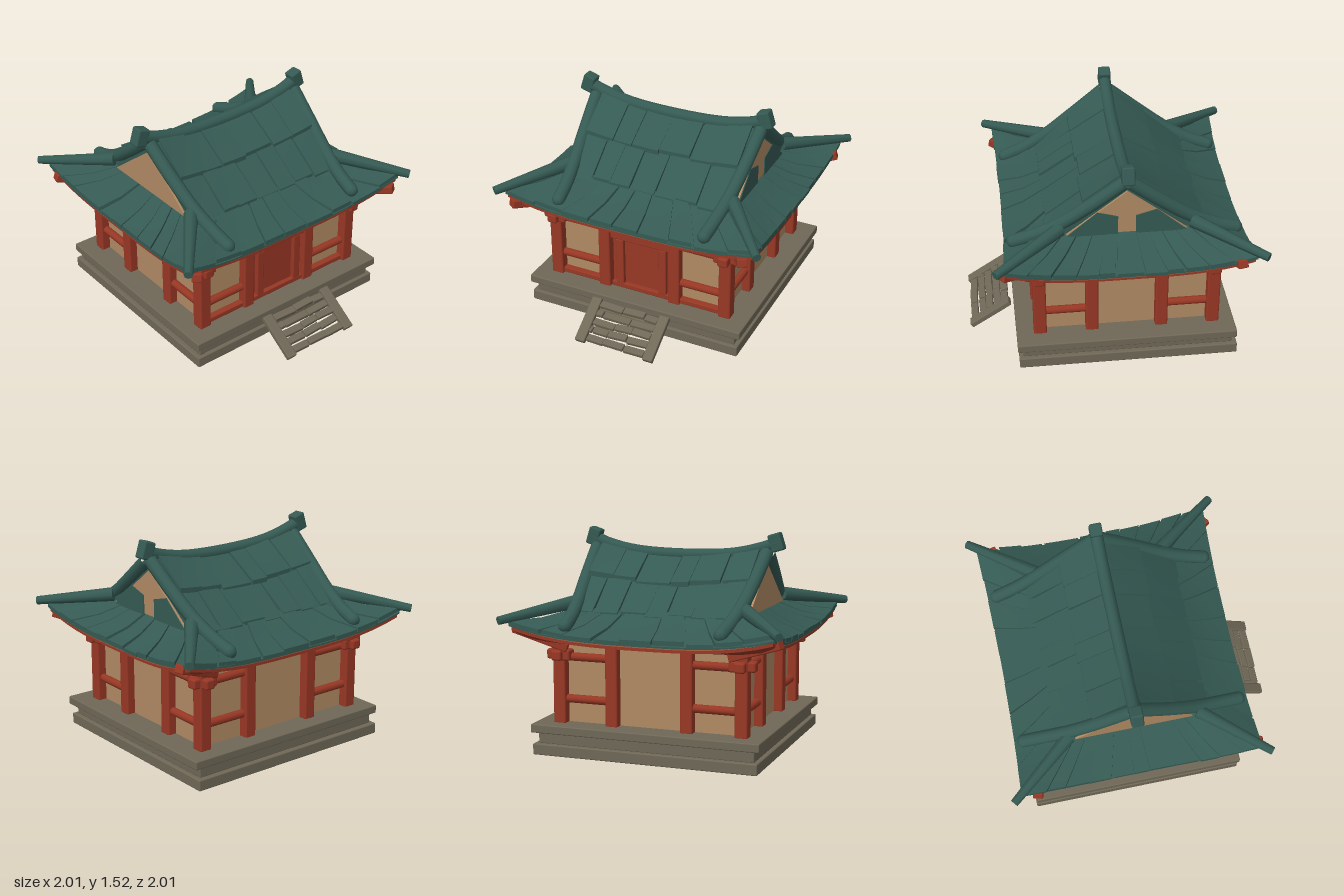
import * as THREE from 'three';
import { RoundedBoxGeometry } from 'three/addons/geometries/RoundedBoxGeometry.js';

const material = (name, color) => Object.assign(new THREE.MeshStandardMaterial({ color }), { name });
const V = (x, y, z) => new THREE.Vector3(x, y, z);
const lerp = THREE.MathUtils.lerp;

export function createModel() {
  const teal = material('teal roof tile', 0x355a53);
  const tan = material('tan plaster', 0xb08a63);
  const red = material('red timber', 0x983724);
  const stone = material('grey stone', 0x6f6857);
  const trim = material('orange eave trim', 0xa9603f);

  const root = new THREE.Group();
  root.name = 'pavilion';
  const hall = new THREE.Group();
  hall.name = 'hall';
  hall.position.set(-0.09, 0, -0.01);
  root.add(hall);

  let seed = 7;
  const rand = () => (seed = (seed * 16807) % 2147483647) / 2147483647;
  const jit = (a) => (rand() - 0.5) * 2 * a;

  const add = (parent, name, geo, mat, x = 0, y = 0, z = 0) => {
    const m = new THREE.Mesh(geo, mat);
    m.name = name;
    m.position.set(x, y, z);
    parent.add(m);
    return m;
  };
  const block = (parent, name, mat, w, h, d, x, y, z, r = 0.008) =>
    add(parent, name, new RoundedBoxGeometry(w, h, d, 2, r), mat, x, y, z);
  // round log between two points, tapering from r0 to r1
  const log = (parent, name, mat, a, b, r0, r1, sides = 10) => {
    const m = add(parent, name, new THREE.CylinderGeometry(r1, r0, a.distanceTo(b), sides), mat);
    m.position.copy(a).lerp(b, 0.5);
    m.quaternion.setFromUnitVectors(V(0, 1, 0), b.clone().sub(a).normalize());
    return m;
  };
  // slab bent over a surface(u, v): v runs outwards, lip thickens the outer edge
  const slab = (parent, name, mat, surface, [u0, u1, v0, v1], h0, thick, lip = 0, su = 2, sv = 2) => {
    const geo = new THREE.BoxGeometry(1, 1, 1, su, 1, sv);
    const p = geo.attributes.position;
    for (let i = 0; i < p.count; i++) {
      const s = p.getZ(i) + 0.5;
      const q = surface(lerp(u0, u1, p.getX(i) + 0.5), lerp(v0, v1, s));
      p.setXYZ(i, q.x, q.y + h0 + (p.getY(i) > 0 ? thick + lip * s : lip * s * 0.4), q.z);
    }
    geo.computeVertexNormals();
    return add(parent, name, geo, mat);
  };
  const tileRow = (parent, surface, n, v0, v1, lip) => {
    let u = -1;
    for (let i = 0; i < n; i++) {
      const next = i === n - 1 ? 1 : -1 + (2 * (i + 1)) / n + jit(0.35 / n);
      const tile = slab(parent, 'roofTile', teal, surface,
        [u + 0.006, next - 0.006, v0, v1 + jit(0.012)], jit(0.006), 0.018, lip + jit(0.008));
      tile.rotation.z = jit(0.008);
      u = next;
    }
  };

  // stone platform
  block(hall, 'platformBase', stone, 1.53, 0.078, 1.61, -0.005, 0.046, 0);
  block(hall, 'platformMiddle', stone, 1.47, 0.08, 1.55, 0, 0.122, 0);
  block(hall, 'platformTop', stone, 1.53, 0.06, 1.64, 0.005, 0.188, -0.005);

  // sloping stone steps
  const steps = new THREE.Group();
  steps.name = 'steps';
  steps.position.set(0.85, 0.112, -0.03);
  steps.rotation.z = -0.58;
  root.add(steps);
  for (const z of [-0.262, 0.262]) block(steps, 'stepCurb', stone, 0.34, 0.04, 0.075, 0, 0, z);
  for (let i = 0; i < 5; i++) {
    let z = -0.225;
    while (z < 0.2) {
      const len = Math.min(0.1 + rand() * 0.12, 0.225 - z);
      const s = block(steps, 'stepStone', stone, 0.052, 0.03, len - 0.004,
        -0.13 + i * 0.064 + jit(0.006), jit(0.008), z + len / 2, 0.006);
      s.rotation.set(0, jit(0.06), 0.3 + jit(0.1));
      z += len;
    }
  }

  // plaster core
  add(hall, 'plasterWalls', new THREE.BoxGeometry(1.17, 0.58, 1.27), tan, 0, 0.5, 0);

  // corner columns
  for (const sx of [-1, 1]) for (const sz of [-1, 1]) {
    block(hall, 'cornerColumn', red, 0.09, 0.58, 0.09, sx * 0.605, 0.5, sz * 0.655, 0.012);
  }

  for (let k = 0; k < 4; k++) {
    // each side is built facing +z, then turned
    const side = new THREE.Group();
    side.name = ['frontSide', 'entranceSide', 'backSide', 'plainSide'][k];
    side.rotation.y = (k * Math.PI) / 2;
    hall.add(side);
    const odd = k % 2 === 1;
    const A = odd ? 0.655 : 0.605;
    const out = odd ? 0.605 : 0.655;
    const inner = odd ? 0.27 : 0.2425;

    for (const s of [-1, 1]) {
      block(side, 'innerColumn', red, 0.088, 0.58, 0.085, s * inner, 0.5, out, 0.012);
      for (const y of [0.385, 0.68]) {
        log(side, 'rail', red, V(s * inner, y, out), V(s * A, y, out), 0.029, 0.029);
      }
      if (k === 1) block(side, 'sillBeam', red, A - inner, 0.04, 0.05, (s * (A + inner)) / 2, 0.24, out);
      block(side, 'beamEnd', red, 0.14, 0.07, 0.075, s * (A + 0.025), 0.695, out, 0.014);
      block(side, 'beamBracket', red, 0.07, 0.075, 0.1, s * (A - 0.05), 0.695, out + 0.01, 0.014);
    }

    // flared skirt roof and its underside
    const eaveLift = (u, v) => 0.09 * Math.abs(u) ** 3 * v;
    const [ai, bi, ao, bo] = odd ? [0.6, 0.5, 0.935, 0.82] : [0.5, 0.6, 0.84, 0.915];
    const skirt = (u, v) => V(u * lerp(ai, ao, v),
      lerp(0.985, 0.82, v) + eaveLift(u, v) - 0.02 * Math.sin(Math.PI * v),
      lerp(bi, bo + 0.02 * u * u, v));
    const soffit = (u, v) => V(u * lerp(A, ao - 0.015, v),
      lerp(0.765, 0.787, v) + eaveLift(u, v * v),
      lerp(out, bo - 0.015 + 0.02 * u * u, v));
    slab(side, 'skirtUnderlay', teal, skirt, [-1, 1, 0, 0.99], -0.005, 0.012, 0, 16, 5);
    tileRow(side, skirt, odd ? 9 : 11, 0, 1, 0.016);
    slab(side, 'eaveSoffit', red, soffit, [-1, 1, 0, 1], 0, 0.024, 0, 16, 4);
    slab(side, 'eaveTrim', trim, soffit, [-1, 1, 0.96, 1.03], 0.021, 0.012, 0, 16, 1);
  }

  // entrance door
  const door = new THREE.Group();
  door.name = 'door';
  door.rotation.y = Math.PI / 2;
  hall.add(door);
  block(door, 'doorPanel', red, 0.46, 0.5, 0.02, 0.01, 0.47, 0.59, 0.004);
  block(door, 'doorLintel', red, 0.46, 0.09, 0.06, 0.01, 0.67, 0.61);
  block(door, 'doorSill', red, 0.46, 0.04, 0.05, 0.01, 0.24, 0.605);
  for (const s of [-1, 1]) block(door, 'doorPost', red, 0.06, 0.37, 0.05, 0.01 + s * 0.165, 0.435, 0.605);

  // corner rafters and hip ridges
  for (const sx of [-1, 1]) for (const sz of [-1, 1]) {
    const a = V(sx * 0.57, 0.765, sz * 0.62), b = V(sx * 0.82, 0.865, sz * 0.91);
    const rafter = block(hall, 'cornerRafter', red, 0.07, 0.06, a.distanceTo(b), 0, 0, 0);
    rafter.position.copy(a).lerp(b, 0.5);
    rafter.lookAt(b);
    log(hall, 'hipRidge', teal, V(sx * 0.45, 1.035, sz * 0.62), V(sx * 0.9, 0.95, sz * 0.98), 0.05, 0.03, 8);
  }

  // main roof slopes, v is the distance out from the ridge
  const slopeY = (d) => (d < 0.28 ? lerp(1.34, 1.15, d / 0.28) : lerp(1.15, 0.96, (d - 0.28) / 0.25));
  const slope = (u, d) => V(u * 0.59, slopeY(d) + 0.08 * u * u * (1 - d / 0.54), d);
  for (const s of [-1, 1]) {
    const half = new THREE.Group();
    half.name = 'mainSlope';
    half.rotation.y = (s * Math.PI) / 2;
    hall.add(half);
    slab(half, 'slopeUnderlay', teal, slope, [-1, 1, 0, 0.53], -0.012, 0.012, 0, 10, 6);
    tileRow(half, slope, 6, 0, 0.285, 0.022);
    tileRow(half, slope, 7, 0.27, 0.54, 0.022);
  }

  // ridge with upturned ends
  const ridgePath = new THREE.CatmullRomCurve3([[-0.68, 1.455], [-0.58, 1.41], [-0.36, 1.36], [0, 1.342],
    [0.38, 1.36], [0.6, 1.41], [0.72, 1.455]].map(([z, y]) => V(0, y, z)));
  add(hall, 'mainRidge', new THREE.TubeGeometry(ridgePath, 24, 0.045, 10), teal);
  for (const s of [-1, 1]) {
    const end = block(hall, 'ridgeEnd', teal, 0.086, 0.125, 0.09, 0, 1.452, 0.02 + s * 0.68, 0.012);
    end.rotation.x = -s * 0.3;
  }

  // verge ridges down the gable edges
  for (const sx of [-1, 1]) for (const sz of [-1, 1]) {
    const pts = [[0.02, 1.38, 0.635], [0.25, 1.2, 0.615], [0.45, 1.055, 0.59], [0.62, 0.965, 0.565], [0.76, 0.915, 0.55]]
      .map(([x, y, z]) => V(sx * x, y, sz * z));
    add(hall, 'vergeRidge', new THREE.TubeGeometry(new THREE.CatmullRomCurve3(pts), 16, 0.047, 10), teal);
    add(hall, 'vergeEnd', new THREE.SphereGeometry(0.047, 10, 8), teal, ...pts[4].toArray());
  }

  // gables
  const plate = (parent, name, mat, pts, depth, z) => add(parent, name, new THREE.ExtrudeGeometry(
    new THREE.Shape(pts.map(([x, y]) => new THREE.Vector2(x, y))), { depth, bevelEnabled: false }), mat, 0, 0, z);
  for (const k of [0, 1]) {
    const gable = new THREE.Group();
    gable.name = k ? 'backGable' : 'frontGable';
    gable.rotation.y = k * Math.PI;
    hall.add(gable);
    plate(gable, 'gableBacking', teal, [[-0.5, 0.97], [0.5, 0.97], [0.28, 1.15], [0, 1.38], [-0.28, 1.15]], 0.03, 0.585);
    plate(gable, 'gablePlaster', tan, [[-0.41, 0.99], [0.41, 0.99], [0, 1.31]], 0.015, 0.62);
    if (k) {
      plate(gable, 'gablePatch', teal, [[0.06, 0.98], [0.41, 0.98], [0.2, 1.16], [0.06, 1.12]], 0.006, 0.636);
      plate(gable, 'gablePatch', teal, [[-0.41, 0.98], [-0.06, 0.98], [-0.06, 1.12], [-0.2, 1.16]], 0.006, 0.636);
    }
  }

  // rest the lowest point on the ground
  root.updateMatrixWorld(true);
  const low = new THREE.Box3().setFromObject(root, true).min.y;
  for (const child of root.children) child.position.y -= low;
  return root;
}
